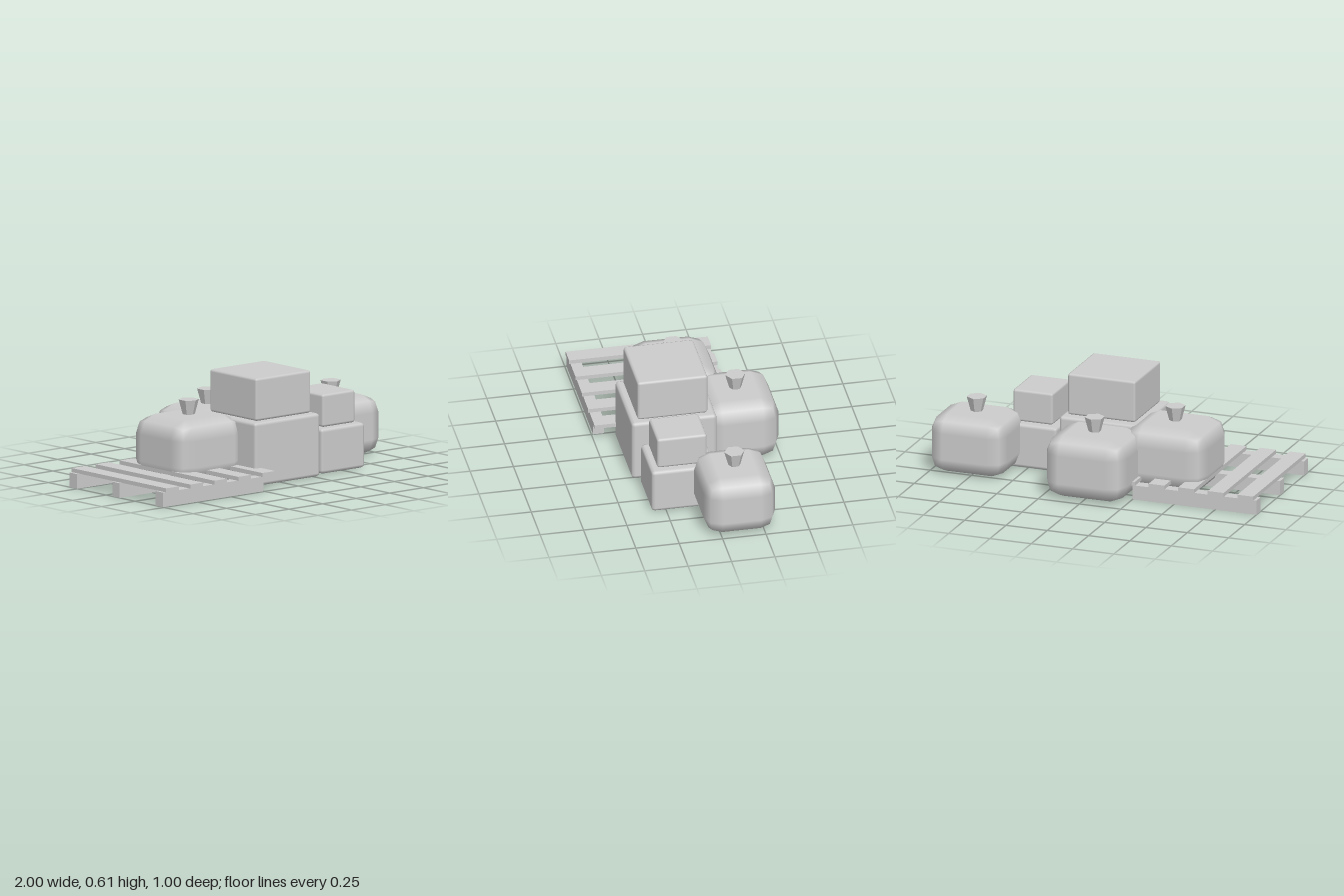
import * as THREE from 'three';
import { RoundedBoxGeometry } from 'three/addons/geometries/RoundedBoxGeometry.js';

export function createModel() {
  const model = new THREE.Group();
  model.name = 'harvestCrates';
  const grey = new THREE.MeshStandardMaterial({ color: 0xcccccc });
  grey.name = 'plainGrey';

  function add(parent, name, geometry, x, y, z) {
    const mesh = new THREE.Mesh(geometry, grey);
    mesh.name = name;
    mesh.position.set(x, y, z);
    parent.add(mesh);
    return mesh;
  }

  // Block given by its extents, with an optional rounded edge
  function block(parent, name, [x0, x1], [y0, y1], [z0, z1], radius = 0) {
    const size = [x1 - x0, y1 - y0, z1 - z0];
    const geometry = radius
      ? new RoundedBoxGeometry(...size, 1, radius)
      : new THREE.BoxGeometry(...size);
    return add(parent, name, geometry, (x0 + x1) / 2, (y0 + y1) / 2, (z0 + z1) / 2);
  }

  // Pallet: three rails carrying five slats
  const pallet = new THREE.Group();
  pallet.name = 'pallet';
  model.add(pallet);
  for (const z of [-0.283, 0.085, 0.458]) {
    block(pallet, 'palletRail', [-1, -0.25], [0, 0.084], [z - 0.032, z + 0.032]);
  }
  for (let i = 0; i < 5; i++) {
    const x = -0.934 + i * 0.179;
    block(pallet, 'palletSlat', [x - 0.048, x + 0.048], [0.084, 0.107], [-0.32, 0.498]);
  }

  // Two stacks of crates with softened edges
  block(model, 'largeLowerCrate', [-0.21, 0.275], [0.003, 0.367], [-0.117, 0.374], 0.02);
  block(model, 'largeUpperCrate', [-0.17, 0.24], [0.367, 0.612], [-0.071, 0.334], 0.015);
  block(model, 'smallLowerCrate', [0.32, 0.643], [0.003, 0.262], [-0.034, 0.334], 0.02);
  block(model, 'smallUpperCrate', [0.36, 0.602], [0.262, 0.45], [0.008, 0.295], 0.015);

  // Pumpkin: rounded block with a flaring six-sided stem
  const stemShape = new THREE.CylinderGeometry(0.058, 0.035, 0.085, 6).toNonIndexed();
  stemShape.computeVertexNormals();
  function pumpkin(name, xs, ys, zs, radius) {
    const group = new THREE.Group();
    group.name = name;
    model.add(group);
    const body = block(group, 'pumpkinBody', xs, ys, zs, radius);
    add(group, 'pumpkinStem', stemShape, body.position.x, ys[1] + 0.0415, body.position.z);
  }
  pumpkin('palletPumpkin', [-0.635, -0.138], [0.024, 0.391], [-0.233, 0.237], 0.108);
  pumpkin('backPumpkin', [-0.25, 0.236], [0, 0.367], [-0.498, -0.06], 0.102);
  pumpkin('sidePumpkin', [0.541, 1], [0, 0.343], [-0.32, 0.091], 0.095);

  return model;
}
